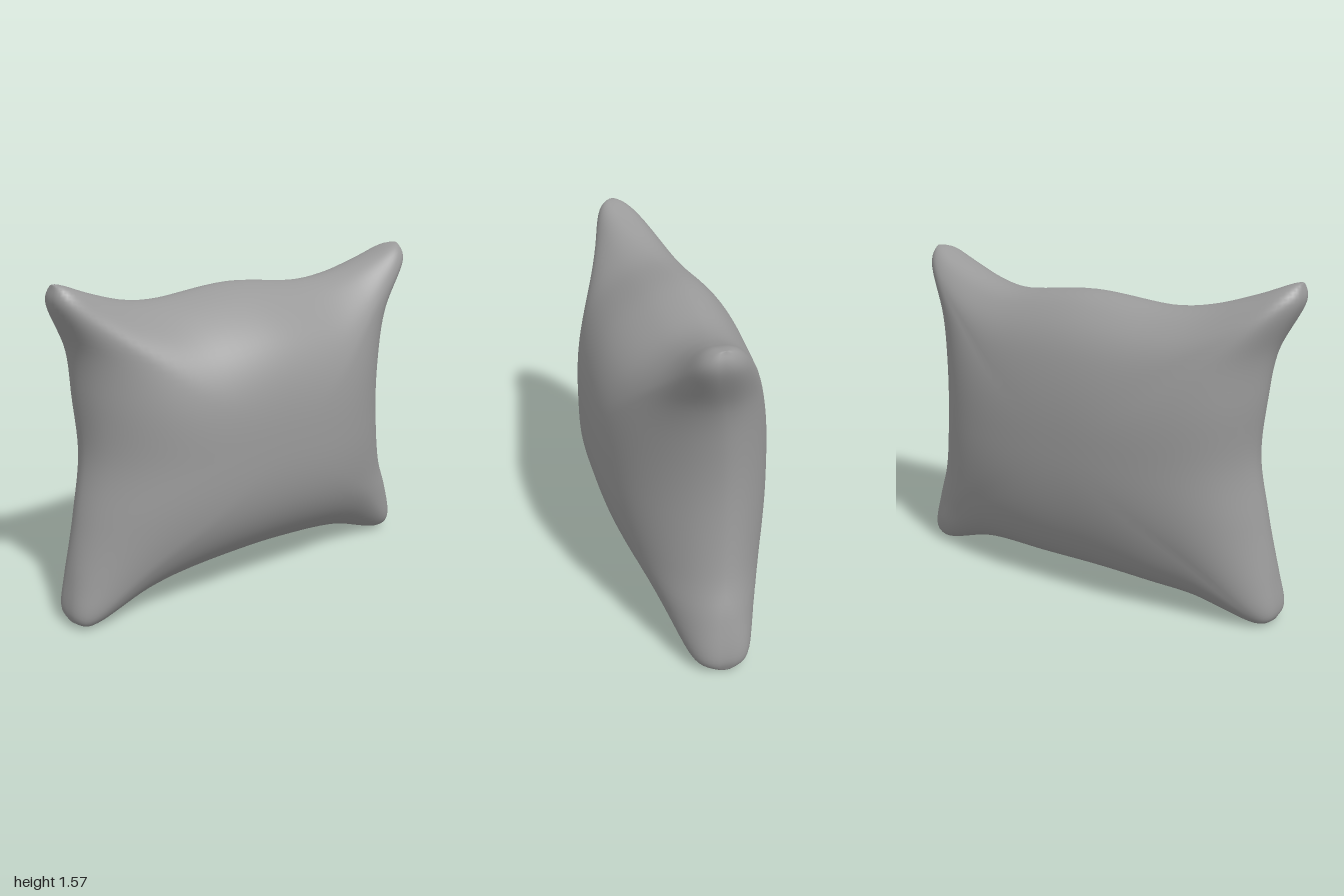
import * as THREE from 'three';
import { mergeGeometries, mergeVertices } from 'three/addons/utils/BufferGeometryUtils.js';

const SEGMENTS = 56;

const curve = (points) =>
  new THREE.CatmullRomCurve3(points.map((p) => new THREE.Vector3(...p)), false, 'centripetal');

// The four seams: top and bottom run left to right, the sides run bottom to top.
const TL = [-0.985, 1.572, 0.03], TR = [0.985, 1.572, 0.02];
const BL = [-0.968, 0.018, -0.01], BR = [0.982, 0.012, -0.03];
const topSeam = curve([TL, [-0.95, 1.567, 0.03], [-0.8, 1.51, 0], [-0.6, 1.45, -0.04], [-0.42, 1.43, -0.07],
  [0, 1.46, -0.08], [0.42, 1.425, -0.07], [0.6, 1.45, -0.04], [0.8, 1.515, 0], [0.93, 1.565, 0.02], TR]);
const bottomSeam = curve([BL, [-0.92, 0, -0.01], [-0.6, 0.075, -0.05], [-0.4, 0.095, -0.08],
  [-0.12, 0.108, -0.09], [0.2, 0.105, -0.09], [0.6, 0.08, -0.05], [0.9, 0, -0.03], BR]);
const leftSeam = curve([BL, [-0.985, 0.06, -0.01], [-0.96, 0.22, -0.02], [-0.9, 0.5, -0.03],
  [-0.85, 0.78, -0.04], [-0.87, 1.05, -0.04], [-0.9, 1.27, -0.02], [-0.998, 1.5, 0.02], TL]);
const rightSeam = curve([BR, [0.998, 0.07, -0.03], [0.96, 0.27, -0.03], [0.905, 0.45, -0.04],
  [0.86, 0.8, -0.05], [0.865, 1.05, -0.04], [0.9, 1.27, -0.02], [0.998, 1.5, 0.02], TR]);

// Blend the four seams into a sheet (Coons patch), a and b in 0..1.
function sheetPoint(a, b) {
  const p = new THREE.Vector3();
  const add = (v, w) => p.addScaledVector(v, w);
  const corner = (c, w) => add(new THREE.Vector3(...c), -w);
  add(bottomSeam.getPointAt(a), 1 - b);
  add(topSeam.getPointAt(a), b);
  add(leftSeam.getPointAt(b), 1 - a);
  add(rightSeam.getPointAt(b), a);
  corner(BL, (1 - a) * (1 - b));
  corner(BR, a * (1 - b));
  corner(TL, (1 - a) * b);
  corner(TR, a * b);
  return p;
}

// Half thickness of the filling, with extra stuffing in the corners, most at the bottom.
function puff(u, v) {
  const body = (s) => Math.pow(Math.max(0, 1 - Math.abs(s) ** 2.5), 0.55);
  const rim = Math.max(0, (1 - u * u) * (1 - v * v));
  const stuffing = 0.32 - 0.06 * v;
  return 0.385 * body(u) * body(v) + stuffing * (u * v) ** 4 * Math.pow(rim, 0.28);
}

// One half of the cover; side is 1 for the front and -1 for the back.
function coverHalf(side) {
  const geometry = new THREE.PlaneGeometry(2, 2, SEGMENTS, SEGMENTS);
  geometry.deleteAttribute('uv');
  geometry.deleteAttribute('normal');
  const position = geometry.attributes.position;
  // Rows crowd towards the seam so that it stays round.
  const ease = (s) => Math.sin((s * Math.PI) / 2);
  for (let i = 0; i < position.count; i++) {
    const u = ease(position.getX(i)), v = ease(position.getY(i));
    const p = sheetPoint((u + 1) / 2, (v + 1) / 2);
    const seamShift = p.z * Math.max(Math.abs(u), Math.abs(v)) ** 4;
    position.setXYZ(i, p.x, p.y, seamShift + side * puff(u, v));
  }
  if (side < 0) geometry.index.array.reverse();
  return geometry;
}

export function createModel() {
  const group = new THREE.Group();
  group.name = 'pillow';
  // Front and back are welded along the seam for smooth shading.
  const geometry = mergeVertices(mergeGeometries([coverHalf(1), coverHalf(-1)]), 1e-5);
  geometry.computeVertexNormals();
  const cushion = new THREE.Mesh(geometry, new THREE.MeshStandardMaterial({ color: 0x9a9a9a }));
  cushion.name = 'cushion';
  group.add(cushion);
  return group;
}
